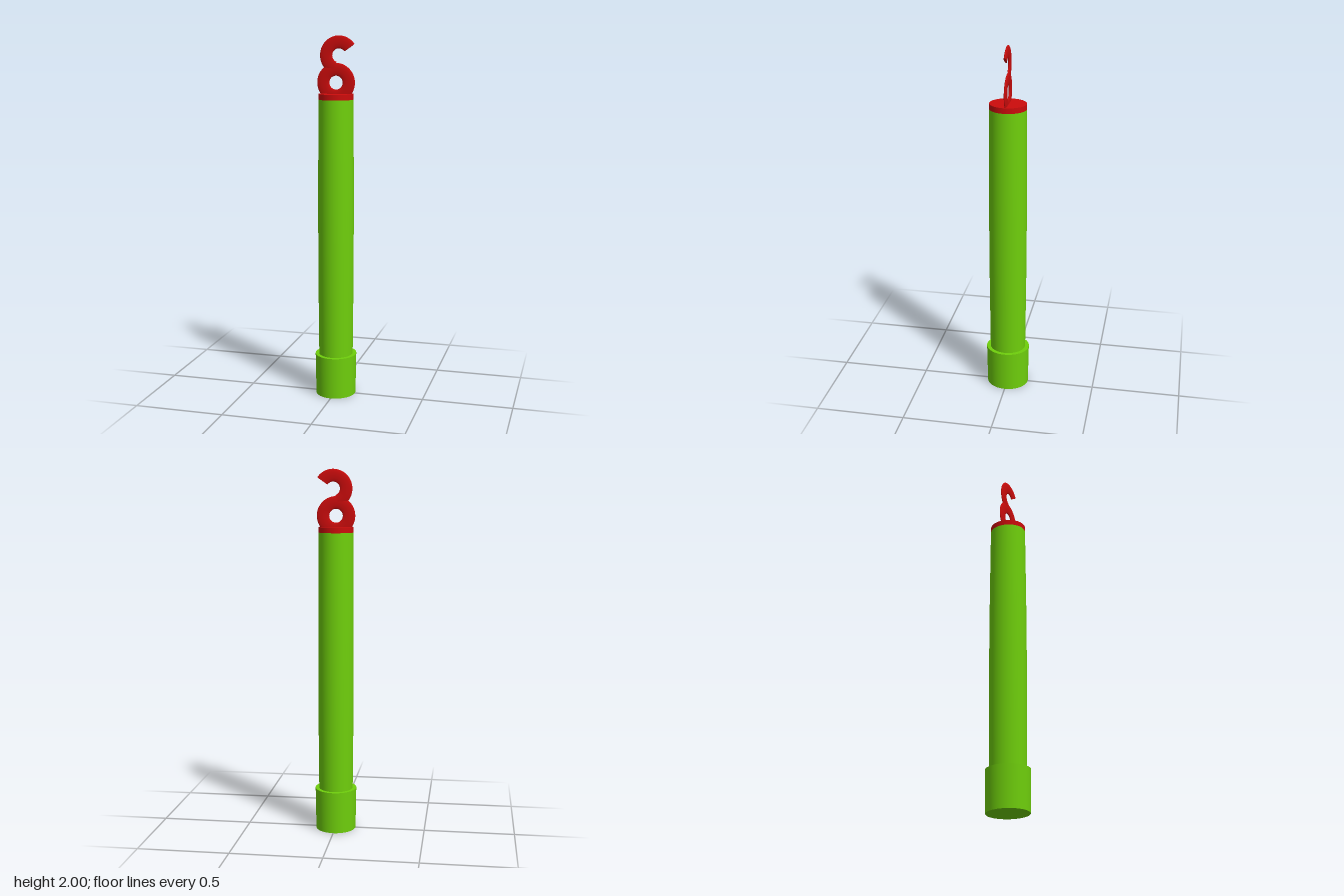
import * as THREE from 'three';

const GREEN = new THREE.MeshStandardMaterial({ color: 0x6fcf0c });
const RED = new THREE.MeshStandardMaterial({ color: 0xcc0c0c });
const OVAL = 0.94; // width of the stick relative to its depth

export function createModel() {
  const model = new THREE.Group();

  const add = (name, geometry, material, parent = model) => {
    const mesh = new THREE.Mesh(geometry, material);
    mesh.name = name;
    parent.add(mesh);
    return mesh;
  };

  // Closed oval cylinder between two heights, with sharp rims
  const ovalCylinder = (name, rTop, rBottom, y0, y1, material) => {
    const g = new THREE.CylinderGeometry(rTop, rBottom, y1 - y0, 64);
    g.scale(OVAL, 1, 1).translate(0, (y0 + y1) / 2, 0);
    return add(name, g, material);
  };

  // Wide foot and red lid
  ovalCylinder('baseCap', 0.122, 0.118, 0, 0.232, GREEN);
  ovalCylinder('topCap', 0.1, 0.1, 1.65, 1.69, RED);

  // Tube, very slightly swollen in the middle
  const profile = [];
  for (let i = 0; i <= 16; i++) {
    const t = i / 16;
    const r = 0.1 + 0.0042 * Math.sin(Math.PI * t);
    profile.push(new THREE.Vector2(r, 0.2 + t * 1.46));
  }
  add('tube', new THREE.LatheGeometry(profile, 64).scale(OVAL, 1, 1), GREEN);
  const rim = new THREE.CircleGeometry(0.1, 64).rotateX(-Math.PI / 2).scale(OVAL, 1, 1);
  add('tubeTop', rim.translate(0, 1.66, 0), GREEN);

  // Flattened hanger: a full ring with an open hook above it
  const R = 0.071, TUBE = 0.034, FLAT = 0.2;
  const hanger = new THREE.Group();
  hanger.name = 'hanger';
  model.add(hanger);

  const ring = new THREE.TorusGeometry(R, TUBE, 24, 64).scale(1, 1, FLAT);
  add('ring', ring, RED, hanger).position.set(0, 1.75, 0);

  const start = THREE.MathUtils.degToRad(35);
  const sweep = THREE.MathUtils.degToRad(215);
  const hook = new THREE.Group();
  hook.name = 'hook';
  hook.position.set(0.016, 1.895, 0);
  hook.rotation.z = start;
  hanger.add(hook);
  add('hookArc', new THREE.TorusGeometry(R, TUBE, 24, 48, sweep).scale(1, 1, FLAT), RED, hook);
  const tip = new THREE.CircleGeometry(TUBE, 24).rotateX(Math.PI / 2).scale(1, 1, FLAT);
  add('hookTip', tip, RED, hook).position.x = R;

  return model;
}
